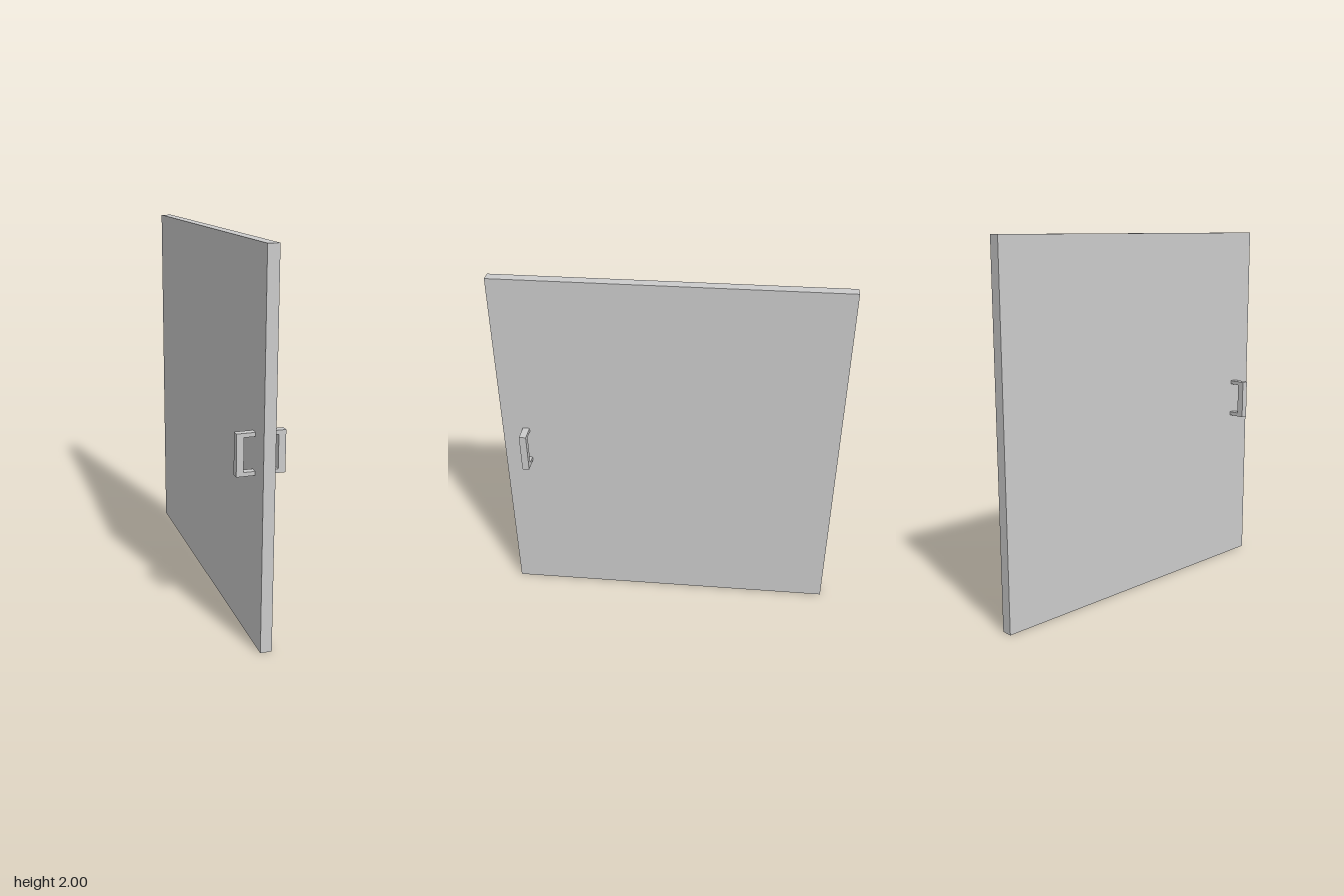
import * as THREE from 'three';

const material = new THREE.MeshStandardMaterial({ color: 0xcccccc, flatShading: true });

// Box given by its minimum and maximum corners
function box(name, min, max) {
  const size = max.map((v, i) => v - min[i]);
  const mesh = new THREE.Mesh(new THREE.BoxGeometry(...size), material);
  mesh.position.set(...max.map((v, i) => (v + min[i]) / 2));
  mesh.name = name;
  return mesh;
}

// C-shaped pull handle, extruded across its width
function handle(name, side) {
  const inner = 0.03, gripIn = 0.088, gripOut = 0.125;
  const low = 0.894, high = 1.11, bar = 0.021;
  const outline = [
    [inner, low], [gripOut, low], [gripOut, high], [inner, high],
    [inner, high - bar], [gripIn, high - bar], [gripIn, low + bar], [inner, low + bar],
  ].map(([x, y]) => new THREE.Vector2(x, y));
  const width = 0.038;
  const geometry = new THREE.ExtrudeGeometry(new THREE.Shape(outline), { depth: width, bevelEnabled: false });
  geometry.translate(0, 0, -width / 2);
  const mesh = new THREE.Mesh(geometry, material);
  // Half turn puts the handle on the other face
  if (side < 0) mesh.rotation.y = Math.PI;
  mesh.position.z = 0.798;
  mesh.name = name;
  return mesh;
}

export function createModel() {
  const door = new THREE.Group();
  door.name = 'door';
  // Flat door panel
  door.add(box('doorPanel', [-0.03, 0, -0.93], [0.03, 2, 0.93]));
  // One handle on each face
  door.add(handle('leftHandle', 1), handle('rightHandle', -1));
  return door;
}
